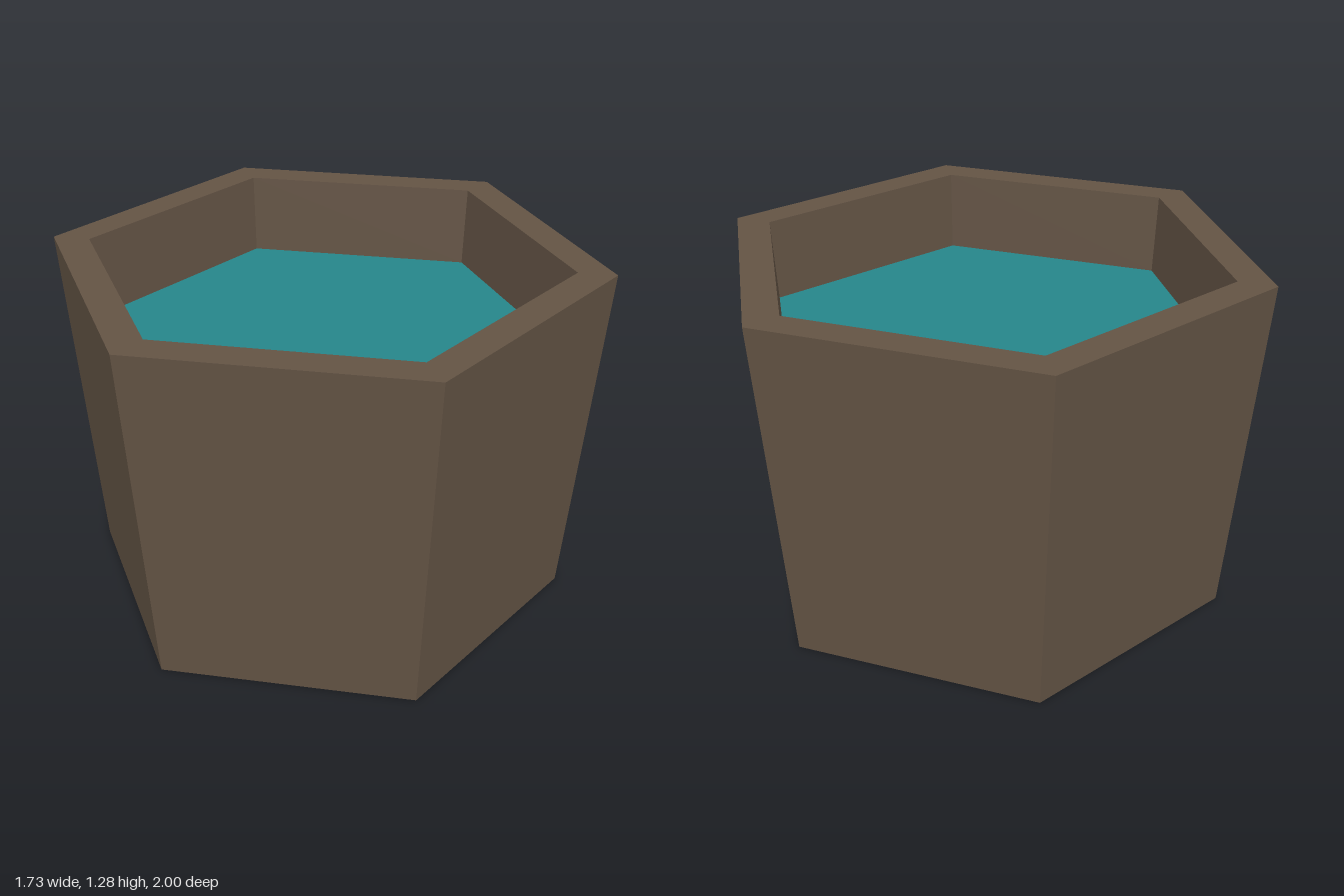
import * as THREE from 'three';

const SIDES = 6;
const WATER_RADIUS = 0.85;
const WATER_LEVEL = 0.98;

export function createModel() {
  const group = new THREE.Group();
  group.name = 'hexagonalTub';

  const wood = new THREE.MeshStandardMaterial({ color: 0x635344 });
  wood.name = 'brown wood';
  const teal = new THREE.MeshStandardMaterial({ color: 0x26858a });
  teal.name = 'teal water';

  // Tapered six-sided tub: base, outer wall, flat rim, inner wall
  const profile = [
    [0, 0],
    [0.9, 0],
    [1, 1.28],
    [0.866, 1.28],
    [WATER_RADIUS, WATER_LEVEL],
  ].map(([r, y]) => new THREE.Vector2(r, y));
  const tubGeometry = new THREE.LatheGeometry(profile, SIDES).toNonIndexed();
  tubGeometry.computeVertexNormals(); // flat facets
  const tub = new THREE.Mesh(tubGeometry, wood);
  tub.name = 'tub';
  group.add(tub);

  // Water surface, with corners lined up with the tub's
  const water = new THREE.Mesh(new THREE.CircleGeometry(WATER_RADIUS, SIDES, Math.PI / 2), teal);
  water.name = 'waterSurface';
  water.rotation.x = -Math.PI / 2;
  water.position.y = WATER_LEVEL;
  group.add(water);

  return group;
}
